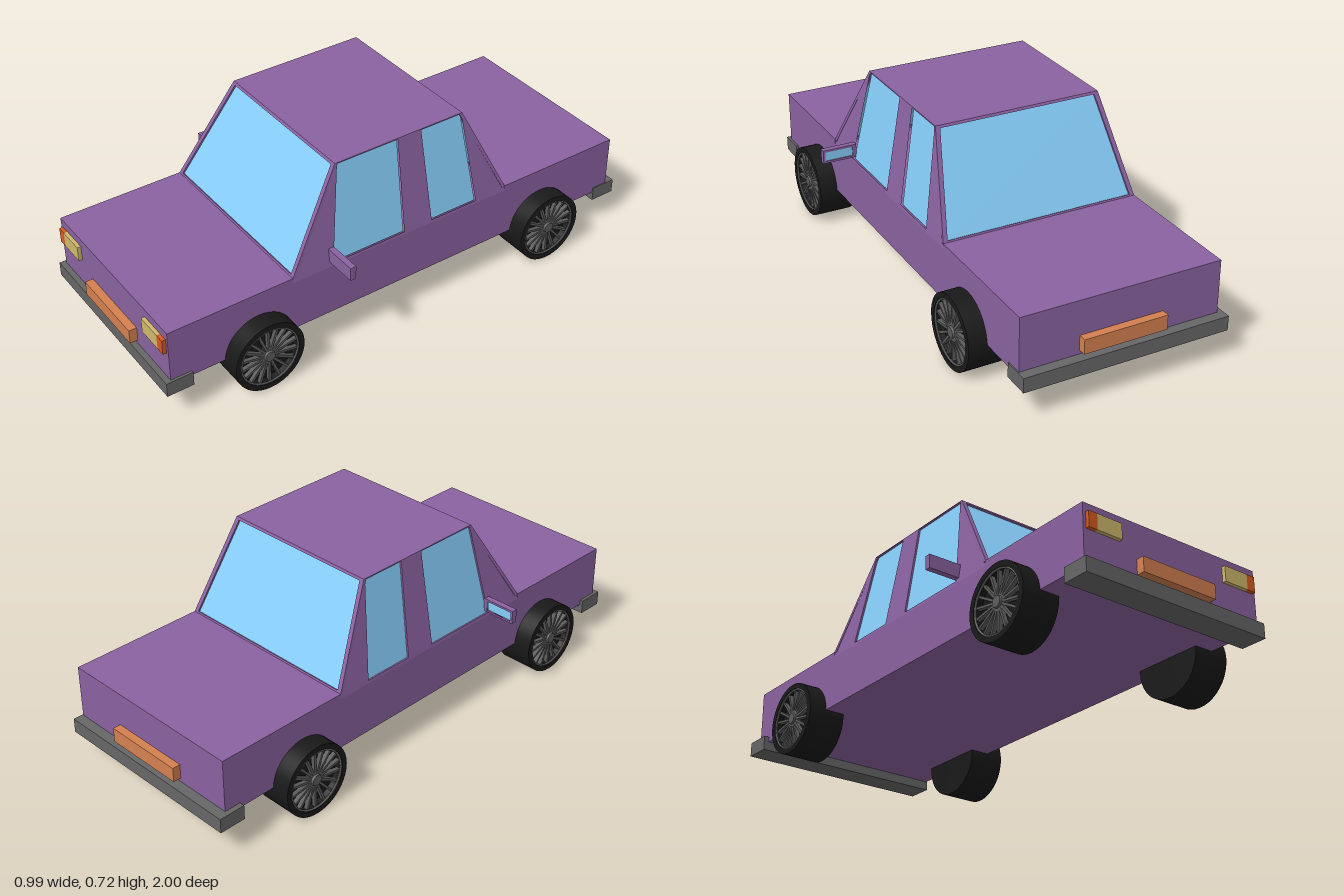
import * as THREE from 'three';
import { toCreasedNormals } from 'three/addons/utils/BufferGeometryUtils.js';

const mat = (color) => new THREE.MeshStandardMaterial({ color });
const paint = mat(0x8a62a0), glass = mat(0x87cefa), bumperGrey = mat(0x666666);
const plateOrange = mat(0xd48050), lampYellow = mat(0xd0b96c), lampOrange = mat(0xd65a20);
const rubber = mat(0x191919), rimGrey = mat(0x5c5c5c);

// Key dimensions
const W = 0.378, ROOF_W = 0.318, ROOF_Z = 0.27, SILL = 0.345, DECK = 0.365, TOP = 0.715;
const FRONT_BASE = 0.485, REAR_BASE = -0.44;

function add(parent, name, geometry, material, x = 0, y = 0, z = 0) {
  const mesh = new THREE.Mesh(geometry, material);
  mesh.name = name;
  mesh.position.set(x, y, z);
  parent.add(mesh);
  return mesh;
}

// Box given by its min and max on each axis
function block(parent, name, material, [x0, x1], [y0, y1], [z0, z1]) {
  return add(parent, name, new THREE.BoxGeometry(x1 - x0, y1 - y0, z1 - z0), material,
    (x0 + x1) / 2, (y0 + y1) / 2, (z0 + z1) / 2);
}

const toShape = (pts) => new THREE.Shape(pts.map(([a, b]) => new THREE.Vector2(a, b)));

// Sloping cabin wall with recessed panes; points are [distance along u, world height]
function wall(parent, name, bottom, top, u, outline, windows) {
  const group = new THREE.Group();
  group.name = name;
  const v = top.clone().sub(bottom), len = v.length();
  v.normalize();
  const n = u.clone().cross(v);
  const flat = (pts) => pts.map(([a, y]) => [a, (y - bottom.y) / (top.y - bottom.y) * len]);
  const shape = toShape(flat(outline));
  windows.forEach((w) => shape.holes.push(toShape(flat(w))));
  const frame = new THREE.ExtrudeGeometry(shape, { depth: 0.012, bevelEnabled: false });
  add(group, 'windowFrame', frame.translate(0, 0, -0.012), paint);
  windows.forEach((w) => {
    const pane = new THREE.ExtrudeGeometry(toShape(flat(w)), { depth: 0.004, bevelEnabled: false });
    add(group, 'windowGlass', pane.translate(0, 0, -0.011), glass);
  });
  group.applyMatrix4(new THREE.Matrix4().makeBasis(u, v, n).setPosition(bottom));
  parent.add(group);
}

function makeWheel(side) {
  const wheel = new THREE.Group();
  wheel.name = 'wheel';
  const profile = [[0, -0.0725], [0.137, -0.0725], [0.137, 0.0725], [0.116, 0.0725], [0.113, 0.042], [0, 0.042]];
  const tyre = new THREE.LatheGeometry(profile.map(([r, y]) => new THREE.Vector2(r, y)), 40);
  add(wheel, 'tyre', toCreasedNormals(tyre, 0.6), rubber);
  // Rim edge, hub and a fan of thin spokes
  const ring = new THREE.TorusGeometry(0.113, 0.004, 6, 40).rotateX(Math.PI / 2);
  add(wheel, 'rimEdge', ring, rimGrey, 0, 0.068, 0);
  add(wheel, 'hub', new THREE.CylinderGeometry(0.02, 0.028, 0.03, 20), rimGrey, 0, 0.057, 0);
  const spokeGeometry = new THREE.BoxGeometry(0.094, 0.016, 0.009).translate(0.066, 0, 0);
  for (let i = 0; i < 18; i++) {
    const spoke = add(wheel, 'spoke', spokeGeometry, rimGrey, 0, 0.056, 0);
    spoke.rotation.y = i / 18 * Math.PI * 2;
  }
  wheel.rotation.z = -side * Math.PI / 2;
  return wheel;
}

export function createModel() {
  const car = new THREE.Group();
  car.name = 'car';

  // Lower body: side profile extruded across the width, with a shallow seat for the cabin
  const profile = toShape([[0.97, 0.145], [0.97, DECK], [FRONT_BASE, DECK], [FRONT_BASE, SILL],
    [REAR_BASE, SILL], [REAR_BASE, DECK], [-0.962, DECK], [-0.962, 0.145]]);
  const body = new THREE.ExtrudeGeometry(profile, { depth: 2 * W, bevelEnabled: false });
  add(car, 'body', body.translate(0, 0, -W).rotateY(-Math.PI / 2), paint);

  // Cabin: roof, windscreen, rear window and sides
  block(car, 'roof', paint, [-ROOF_W, ROOF_W], [TOP - 0.004, TOP], [-ROOF_Z, ROOF_Z]);
  const endOutline = [[-W, DECK], [W, DECK], [ROOF_W, TOP], [-ROOF_W, TOP]];
  const endWindow = [[-0.36, 0.371], [0.36, 0.371], [0.302, 0.706], [-0.302, 0.706]];
  for (const [name, s, base] of [['windscreen', 1, FRONT_BASE], ['rearWindow', -1, REAR_BASE]]) {
    wall(car, name, new THREE.Vector3(0, DECK, base), new THREE.Vector3(0, TOP, s * ROOF_Z),
      new THREE.Vector3(s, 0, 0), endOutline, [endWindow]);
  }
  const sideOutline = [[FRONT_BASE, SILL], [FRONT_BASE, DECK], [ROOF_Z, TOP], [-ROOF_Z, TOP],
    [REAR_BASE, DECK], [REAR_BASE, SILL]];
  const sideWindows = [
    [[0.318, 0.355], [0.262, 0.711], [0.01, 0.711], [0.016, 0.355]],
    [[-0.105, 0.355], [-0.09, 0.711], [-0.265, 0.711], [-0.305, 0.355]],
  ];
  for (const s of [1, -1]) {
    const along = (pts) => pts.map(([z, y]) => [-s * z, y]);
    wall(car, s > 0 ? 'leftCabinSide' : 'rightCabinSide', new THREE.Vector3(s * W, SILL, 0),
      new THREE.Vector3(s * ROOF_W, TOP, 0), new THREE.Vector3(0, 0, -s),
      along(sideOutline), sideWindows.map(along));
  }

  // Bumpers and plates
  block(car, 'frontBumper', bumperGrey, [-0.39, 0.388], [0.11, 0.165], [0.89, 0.992]);
  block(car, 'rearBumper', bumperGrey, [-0.398, 0.382], [0.11, 0.165], [-1, -0.898]);
  block(car, 'frontPlate', plateOrange, [-0.158, 0.158], [0.18, 0.235], [0.96, 1]);
  block(car, 'rearPlate', plateOrange, [-0.158, 0.158], [0.18, 0.235], [-0.992, -0.95]);

  for (const s of [1, -1]) {
    const span = (a, b) => (s > 0 ? [a, b] : [-b, -a]);
    // Headlights with outer indicators
    block(car, 'headlight', lampYellow, span(0.228, 0.331), [0.275, 0.333], [0.96, 0.984]);
    block(car, 'indicator', lampOrange, span(0.331, 0.366), [0.275, 0.333], [0.96, 0.984]);

    // Wing mirror: backing, rim and recessed glass facing the rear
    block(car, 'mirrorBack', paint, span(0.365, 0.497), [0.363, 0.415], [0.32, 0.332]);
    const rim = toShape([[0.365, 0.363], [0.497, 0.363], [0.497, 0.415], [0.365, 0.415]]
      .map(([x, y]) => [s * x, y]));
    rim.holes.push(toShape([[0.38, 0.371], [0.489, 0.371], [0.489, 0.407], [0.38, 0.407]]
      .map(([x, y]) => [s * x, y])));
    add(car, 'mirrorRim', new THREE.ExtrudeGeometry(rim, { depth: 0.012, bevelEnabled: false }), paint, 0, 0, 0.309);
    block(car, 'mirrorGlass', glass, span(0.38, 0.489), [0.371, 0.407], [0.313, 0.321]);

    // Wheels
    for (const z of [0.625, -0.617]) {
      const wheel = makeWheel(s);
      wheel.position.set(s * 0.374, 0.137, z);
      car.add(wheel);
    }
  }
  return car;
}
